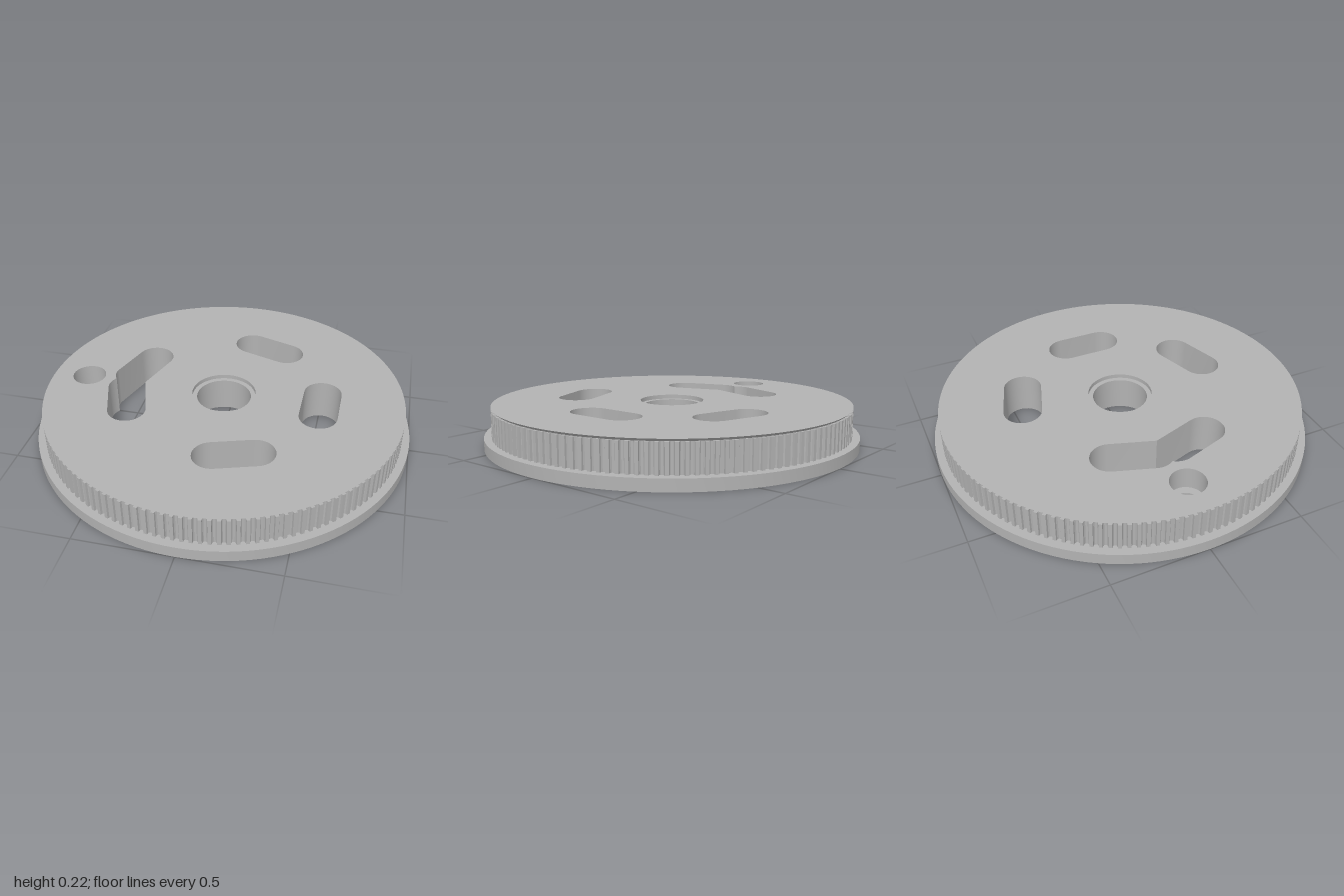
import * as THREE from 'three';
import { toCreasedNormals } from 'three/addons/utils/BufferGeometryUtils.js';

const HEIGHT = 0.22, FLANGE_TOP = 0.06, TEETH_TOP = 0.207;
const TEETH = 140, RIM = 0.96;
const BORE = 0.145, BORE_RECESS = 0.17, RECESS_DEPTH = 0.022;
const PIN = 0.05, PIN_RECESS = 0.09, PIN_X = -0.765, PIN_FLOOR = 0.1;
const SLOT_R = 0.1, SLOT_HALF = 0.107, SLOT_DISTANCE = 0.52;
const rad = THREE.MathUtils.degToRad;

// Points on an arc, angles in degrees, counter-clockwise
function arc(cx, cy, r, from, to, steps) {
  return Array.from({ length: steps + 1 }, (_, i) => {
    const a = rad(from + (to - from) * i / steps);
    return new THREE.Vector2(cx + r * Math.cos(a), cy + r * Math.sin(a));
  });
}
const circle = (r, n, cx = 0) => arc(cx, 0, r, 0, 360, n).slice(0, n);

// Rounded end of the slot at angle a; side is +1 or -1 along the tangent
function slotEnd(a, side, from, to) {
  const c = Math.cos(rad(a)), s = Math.sin(rad(a)), h = side * SLOT_HALF;
  return arc(SLOT_DISTANCE * c - h * s, SLOT_DISTANCE * s + h * c, SLOT_R, from, to, 20);
}
const slot = a => [...slotEnd(a, 1, a, a + 180), ...slotEnd(a, -1, a + 180, a + 360)];

// Two slots that overlap into one bent opening
function bentSlot() {
  const meetY = SLOT_DISTANCE * Math.sin(rad(18)) - SLOT_HALF * Math.cos(rad(18));
  const cut = THREE.MathUtils.radToDeg(Math.asin(meetY / SLOT_R));
  const notch = -(SLOT_DISTANCE - SLOT_R) / Math.cos(rad(18));
  return [
    new THREE.Vector2(notch, 0),
    ...slotEnd(162, -1, 342, 522),
    ...slotEnd(162, 1, 162, 180 + cut),
    ...slotEnd(198, -1, 180 - cut, 198).slice(1),
    ...slotEnd(198, 1, 198, 378),
  ];
}

// Upright wall along a closed outline, facing outward when counter-clockwise
function wall(points, y0, y1, crease) {
  const pos = [];
  points.forEach((p, i) => {
    const q = points[(i + 1) % points.length];
    pos.push(p.x, y0, -p.y, q.x, y0, -q.y, q.x, y1, -q.y);
    pos.push(p.x, y0, -p.y, q.x, y1, -q.y, p.x, y1, -p.y);
  });
  const g = new THREE.BufferGeometry();
  g.setAttribute('position', new THREE.Float32BufferAttribute(pos, 3));
  return toCreasedNormals(g, crease);
}

// Flat horizontal face with holes
function face(outline, holes, y, up) {
  const shape = new THREE.Shape(outline);
  shape.holes = holes.map(h => new THREE.Path(h));
  return new THREE.ShapeGeometry(shape).rotateX(up ? -Math.PI / 2 : Math.PI / 2).translate(0, y, 0);
}

function turned(profile, segments) {
  const g = new THREE.LatheGeometry(profile.map(p => new THREE.Vector2(...p)), segments);
  return toCreasedNormals(g, 0.5);
}

// Belt teeth: rounded grooves cut into the rim
function toothOutline() {
  const groove = [[-0.3, RIM], [-0.26, 0.949], [-0.13, 0.943], [0.13, 0.943], [0.26, 0.949], [0.3, RIM]];
  const points = [];
  for (let i = 0; i < TEETH; i++) {
    for (const [f, r] of groove) {
      const a = (i + f) * 2 * Math.PI / TEETH;
      points.push(new THREE.Vector2(r * Math.cos(a), r * Math.sin(a)));
    }
  }
  return points;
}

export function createModel() {
  const grey = new THREE.MeshStandardMaterial({ color: 0xb2b2b2 });
  grey.name = 'grey';
  const model = new THREE.Group();
  model.name = 'beltPulley';
  const add = (name, geometry) => {
    const mesh = new THREE.Mesh(geometry, grey);
    mesh.name = name;
    model.add(mesh);
    return mesh;
  };

  const slots = [slot(0), slot(72), slot(-72), bentSlot()];
  const teeth = toothOutline();

  // Disc faces
  add('topFace', face(circle(RIM, 128),
    [...slots, circle(BORE_RECESS, 64), circle(PIN_RECESS, 48, PIN_X)], HEIGHT, true));
  add('bottomFace', face(circle(1, 128),
    [...slots, circle(BORE_RECESS, 64), circle(PIN, 48, PIN_X)], 0, false));

  // Rim: flange, toothed band and flared top lip
  add('flange', turned([[1, 0], [1, FLANGE_TOP], [0.93, FLANGE_TOP]], 128));
  add('teeth', wall(teeth, FLANGE_TOP, TEETH_TOP, 0.3));
  add('teethTop', face(teeth, [circle(0.93, 128)], TEETH_TOP, true));
  add('topLip', turned([[0.93, TEETH_TOP], [0.945, TEETH_TOP], [RIM, HEIGHT]], 128));

  // Slot walls
  slots.forEach((s, i) => add('slotWall' + (i + 1), wall([...s].reverse(), 0, HEIGHT, 0.5)));

  // Centre bore, recessed at both ends
  add('centreBore', turned([
    [BORE_RECESS, HEIGHT], [BORE_RECESS, HEIGHT - RECESS_DEPTH], [BORE, HEIGHT - RECESS_DEPTH],
    [BORE, RECESS_DEPTH], [BORE_RECESS, RECESS_DEPTH], [BORE_RECESS, 0],
  ], 64));

  // Small pin hole, recessed from above
  add('pinHole', turned([
    [PIN_RECESS, HEIGHT], [PIN_RECESS, PIN_FLOOR], [PIN, PIN_FLOOR], [PIN, 0],
  ], 48)).position.x = PIN_X;

  return model;
}
